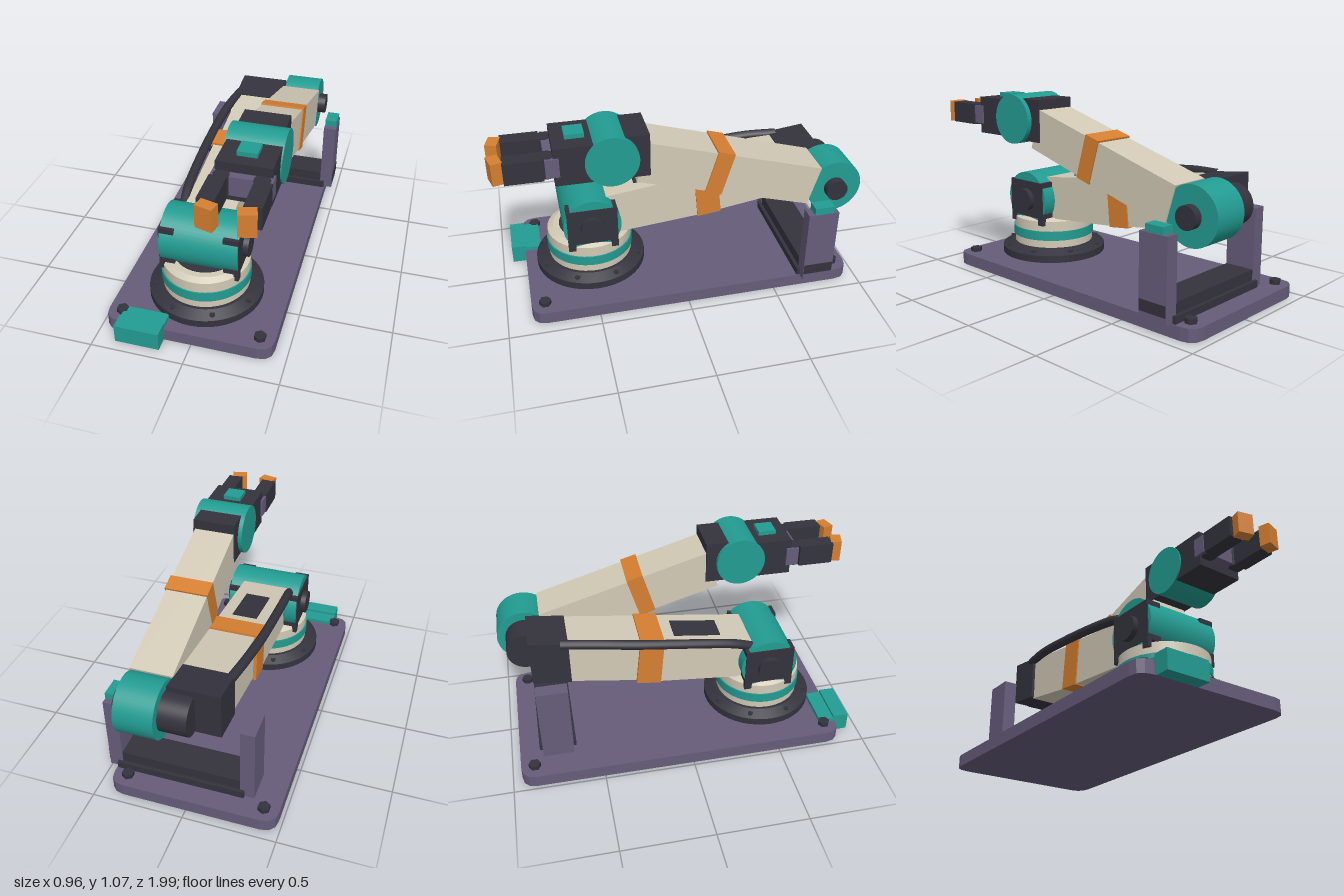
import * as THREE from 'three';

const mat = (name, color) => {
  const m = new THREE.MeshStandardMaterial({ color });
  m.name = name;
  return m;
};

export function createModel() {
  const teal = mat('teal', 0x229c92);
  const cream = mat('cream', 0xd2cab6);
  const purple = mat('purple', 0x665c7a);
  const dark = mat('charcoal', 0x34333d);
  const orange = mat('orange', 0xd67f31);

  const model = new THREE.Group();
  model.name = 'robotArm';
  let parent = model;
  const section = (name) => {
    parent = new THREE.Group();
    parent.name = name;
    model.add(parent);
  };
  const add = (name, geo, m) => {
    const mesh = new THREE.Mesh(geo, m);
    mesh.name = name;
    parent.add(mesh);
    return mesh;
  };
  // box from its limits on each axis
  const box = (name, m, x0, x1, y0, y1, z0, z1) =>
    add(name, new THREE.BoxGeometry(x1 - x0, y1 - y0, z1 - z0)
      .translate((x0 + x1) / 2, (y0 + y1) / 2, (z0 + z1) / 2), m);
  // upright cylinder or cone section
  const drum = (name, m, x, z, y0, y1, rBottom, rTop = rBottom, sides = 48) =>
    add(name, new THREE.CylinderGeometry(rTop, rBottom, y1 - y0, sides)
      .translate(x, (y0 + y1) / 2, z), m);
  // cylinder lying along x
  const axle = (name, m, x0, x1, y, z, r) =>
    add(name, new THREE.CylinderGeometry(r, r, x1 - x0, 48)
      .rotateZ(Math.PI / 2).translate((x0 + x1) / 2, y, z), m);
  // side profile of [z, y] points, extruded across x
  const prism = (name, m, pts, x0, x1) => {
    const shape = new THREE.Shape(pts.map(([z, y]) => new THREE.Vector2(z, y)));
    const geo = new THREE.ExtrudeGeometry(shape, { depth: x1 - x0, bevelEnabled: false });
    return add(name, geo.rotateY(-Math.PI / 2).translate(x1, 0, 0), m);
  };

  // base plate with rounded corners
  section('base');
  const [l, r, b, f, c] = [-0.48, 0.43, -0.95, 0.865, 0.08];
  const plate = new THREE.Shape();
  plate.moveTo(l + c, -f);
  plate.lineTo(r - c, -f);
  plate.quadraticCurveTo(r, -f, r, -f + c);
  plate.lineTo(r, -b - c);
  plate.quadraticCurveTo(r, -b, r - c, -b);
  plate.lineTo(l + c, -b);
  plate.quadraticCurveTo(l, -b, l, -b - c);
  plate.lineTo(l, -f + c);
  plate.quadraticCurveTo(l, -f, l + c, -f);
  add('basePlate', new THREE.ExtrudeGeometry(plate, { depth: 0.07, bevelEnabled: false, curveSegments: 3 })
    .rotateX(-Math.PI / 2), purple);
  for (const x of [-0.4, 0.35])
    for (const z of [-0.875, 0.79]) drum('plateBolt', dark, x, z, 0.07, 0.095, 0.033, 0.033, 6);
  box('connectorBlock', teal, -0.39, -0.148, 0, 0.105, 0.855, 0.942);
  box('connectorStep', teal, -0.39, -0.148, 0.06, 0.092, 0.77, 0.856);

  // rear rest: two posts and a cross rail
  section('rearRest');
  box('leftPost', purple, 0.4, 0.475, 0.07, 0.507, -0.823, -0.652);
  box('rightPost', purple, -0.333, -0.257, 0.07, 0.507, -0.823, -0.652);
  box('railFoot', dark, -0.28, 0.425, 0.07, 0.11, -0.84, -0.635);
  box('crossRail', dark, -0.28, 0.478, 0.11, 0.17, -0.82, -0.655);
  box('postPad', teal, 0.402, 0.472, 0.507, 0.547, -0.795, -0.685);

  // turntable
  section('turntable');
  const tx = -0.025, tz = 0.487;
  drum('turntableRing', dark, tx, tz, 0.07, 0.112, 0.314);
  drum('turntableSlope', dark, tx, tz, 0.112, 0.14, 0.314, 0.255);
  for (let i = 0; i < 8; i++) {
    const a = (i + 0.5) * Math.PI / 4;
    drum('ringBolt', dark, tx + 0.282 * Math.sin(a), tz + 0.282 * Math.cos(a), 0.11, 0.132, 0.015, 0.015, 8);
  }
  drum('turret', cream, tx, tz, 0.14, 0.3, 0.238);
  drum('turretBevel', cream, tx, tz, 0.3, 0.317, 0.238, 0.205);
  drum('turretTop', dark, tx, tz, 0.3, 0.322, 0.17);
  drum('turretBand', teal, tx, tz, 0.185, 0.24, 0.245);

  // shoulder joint with mirrored brackets
  section('shoulder');
  axle('shoulderDrum', teal, -0.235, 0.187, 0.425, tz, 0.16);
  for (const s of [-1, 1]) {
    const span = (p, q) => (s > 0 ? [tx + p, tx + q] : [tx - q, tx - p]);
    box('shoulderBracket', dark, ...span(0.132, 0.216), 0.317, 0.533, 0.348, 0.626);
    for (const z of [0.348, 0.584])
      box('bracketFoot', dark, ...span(0.19, 0.216), 0.275, 0.318, z, z + 0.042);
    axle('shoulderCap', dark, ...span(0.21, 0.246), 0.421, tz, 0.067);
  }

  // lower arm
  section('lowerArm');
  prism('lowerArmFront', cream, [[0.45, 0.3], [0.45, 0.55], [-0.17, 0.629], [-0.19, 0.36]], -0.16, 0.11);
  prism('lowerArmRear', cream, [[-0.17, 0.36], [-0.17, 0.629], [-0.63, 0.688], [-0.63, 0.43]], -0.148, 0.11);
  prism('lowerArmBand', orange, [[-0.125, 0.349], [-0.1, 0.632], [-0.232, 0.649], [-0.262, 0.366]], -0.167, 0.117);
  prism('lowerArmPanel', dark, [[0.23, 0.575], [0.23, 0.584], [-0.035, 0.618], [-0.035, 0.609]], -0.098, 0.042);
  const path = new THREE.CatmullRomCurve3([
    [-0.175, 0.535, 0.39], [-0.187, 0.575, 0.28], [-0.193, 0.613, 0.05],
    [-0.19, 0.65, -0.25], [-0.175, 0.677, -0.48], [-0.15, 0.685, -0.66],
  ].map((p) => new THREE.Vector3(...p)));
  add('cable', new THREE.TubeGeometry(path, 40, 0.026, 12), dark);

  // elbow
  section('elbow');
  prism('elbowHousing', dark, [[-0.62, 0.435], [-0.62, 0.692], [-0.83, 0.718], [-0.83, 0.46]], -0.165, 0.112);
  axle('elbowMotor', dark, -0.03, 0.13, 0.58, -0.845, 0.107);
  axle('elbowDrum', teal, 0.12, 0.33, 0.58, -0.845, 0.154);
  axle('elbowCap', dark, 0.325, 0.375, 0.58, -0.845, 0.06);

  // upper arm
  section('upperArm');
  prism('upperArmBeam', cream, [[-0.69, 0.497], [0.262, 0.775], [0.195, 0.993], [-0.755, 0.715]], 0.109, 0.338);
  prism('upperArmBand', orange, [[-0.19, 0.636], [-0.1, 0.662], [-0.17, 0.897], [-0.26, 0.871]], 0.105, 0.346);

  // wrist
  section('wrist');
  box('wristRearBlock', dark, 0.104, 0.347, 0.812, 1.047, 0.19, 0.4);
  axle('wristDrum', teal, 0.08, 0.374, 0.928, 0.385, 0.138);
  box('wristFrontBlock', dark, 0.088, 0.366, 0.825, 1.033, 0.4, 0.675);
  box('wristTab', teal, 0.173, 0.275, 1.03, 1.057, 0.507, 0.607);

  // gripper with mirrored fingers
  section('gripper');
  const gx = 0.225;
  box('palm', purple, 0.075, 0.375, 0.88, 0.983, 0.647, 0.717);
  for (const s of [-1, 1]) {
    const finger = new THREE.Group();
    finger.name = s > 0 ? 'leftFinger' : 'rightFinger';
    parent.add(finger);
    const hold = parent;
    parent = finger;
    drum('knuckle', dark, gx + s * 0.098, 0.705, 0.87, 0.987, 0.04, 0.04, 24);
    const mid = gx + s * 0.108;
    box('fingerBar', dark, mid - 0.043, mid + 0.043, 0.869, 0.988, 0.725, 0.92);
    const tip = add('fingerTip', new THREE.BoxGeometry(0.088, 0.121, 0.06), orange);
    tip.position.set(gx + s * 0.093, 0.928, 0.955);
    tip.rotation.y = s * 0.26;
    parent = hold;
  }

  return model;
}
